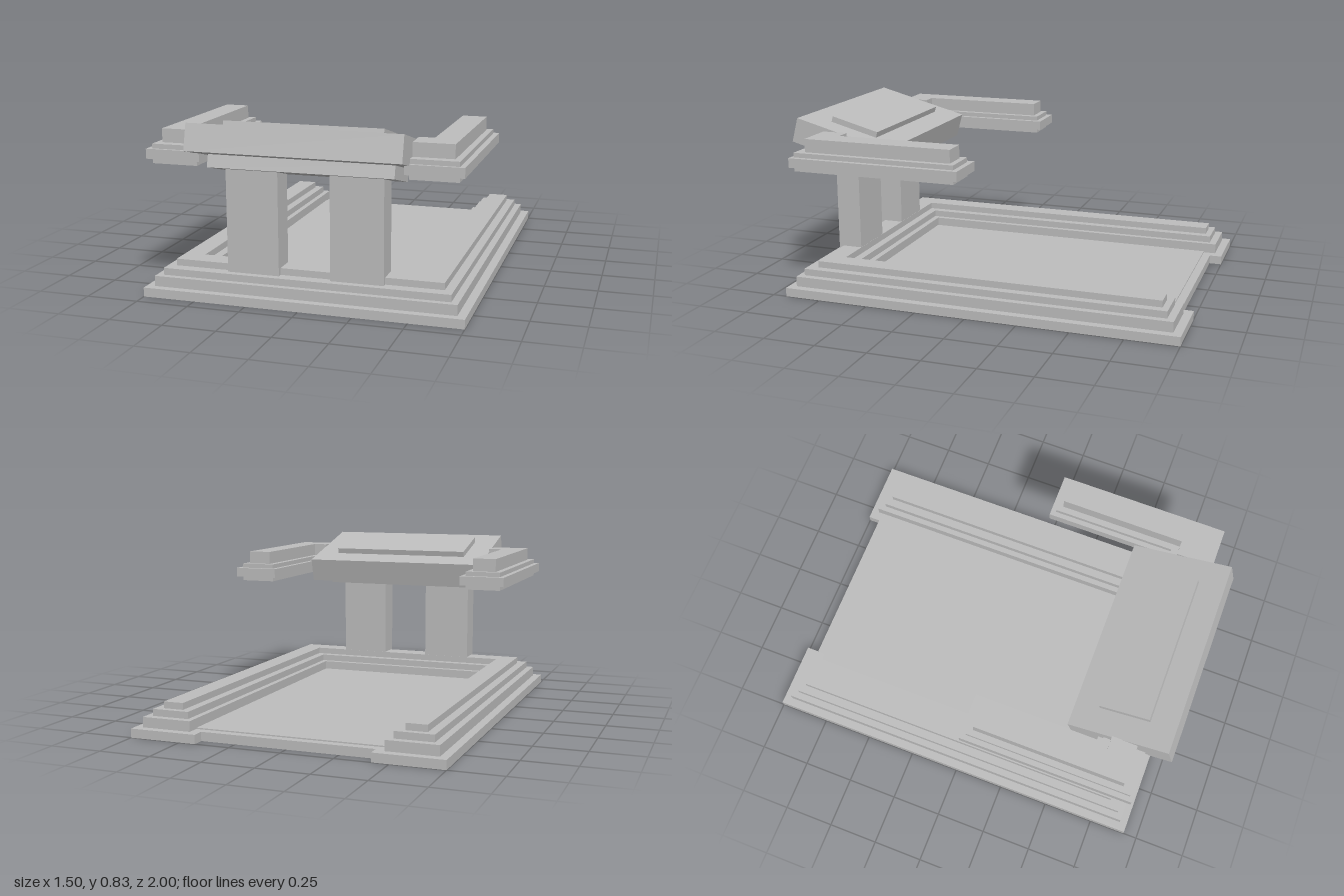
import * as THREE from 'three';

const stone = new THREE.MeshStandardMaterial({ color: 0xbcbcbc });
stone.name = 'grey stone';

// Extrudes a floor-plan outline of [x, z] points from y0 up to y1
function slab(name, points, y0, y1) {
  const shape = new THREE.Shape(points.map(([x, z]) => new THREE.Vector2(x, -z)));
  const geo = new THREE.ExtrudeGeometry(shape, { depth: y1 - y0, bevelEnabled: false });
  geo.rotateX(-Math.PI / 2).translate(0, y0, 0);
  const mesh = new THREE.Mesh(geo, stone);
  mesh.name = name;
  return mesh;
}

function box(name, w, h, d, x, y, z) {
  const mesh = new THREE.Mesh(new THREE.BoxGeometry(w, h, d), stone);
  mesh.name = name;
  mesh.position.set(x, y, z);
  return mesh;
}

export function createModel() {
  const model = new THREE.Group();
  model.name = 'console';

  // Base plate with a notch cut into the back edge
  model.add(slab('basePlate', [
    [-0.75, 0.93], [0.75, 0.93], [0.75, -1], [0.42, -1],
    [0.42, -0.94], [-0.42, -0.94], [-0.42, -1], [-0.75, -1],
  ], 0, 0.043));
  model.add(box('floorPanel', 0.93, 0.006, 1.54, 0, 0.046, -0.13));

  // U-shaped steps, open at the back: outer x, inner x, front z, inner z, back z, y range
  const steps = [
    [0.71, 0.467, 0.893, 0.64, -0.96, 0.043, 0.092],
    [0.677, 0.495, 0.865, 0.67, -0.925, 0.092, 0.125],
    [0.636, 0.537, 0.81, 0.71, -0.895, 0.125, 0.157],
  ];
  steps.forEach(([xo, xi, zf, zi, zb, y0, y1], i) => {
    model.add(slab('baseStep' + (i + 1), [
      [-xo, zf], [xo, zf], [xo, zb], [xi, zb],
      [xi, zi], [-xi, zi], [-xi, zb], [-xo, zb],
    ], y0, y1));
  });

  // L-shaped side wings: outer x, inner x, front z, inner z, back z, end x, y range
  const layers = [
    [0.705, 0.53, 0.875, 0.67, 0.063, 0.488, 0.62, 0.642],
    [0.73, 0.506, 0.89, 0.645, 0.037, 0.47, 0.642, 0.688],
    [0.705, 0.53, 0.875, 0.67, 0.063, 0.488, 0.688, 0.71],
    [0.676, 0.56, 0.83, 0.705, 0.09, 0.488, 0.71, 0.774],
  ];
  for (const s of [1, -1]) {
    const side = s > 0 ? 'left' : 'right';
    const wing = new THREE.Group();
    wing.name = side + 'Wing';
    layers.forEach(([xo, xi, zf, zi, zb, xe, y0, y1], i) => {
      wing.add(slab('wingLayer' + (i + 1), [
        [s * xe, zf], [s * xo, zf], [s * xo, zb],
        [s * xi, zb], [s * xi, zi], [s * xe, zi],
      ], y0, y1));
    });
    model.add(wing);
    // Pillar under the desk
    model.add(box(side + 'Pillar', 0.247, 0.495, 0.122, s * 0.245, 0.3725, 0.772));
  }

  // Tilted desk with a raised panel above and a support plate below
  const desk = new THREE.Group();
  desk.name = 'desk';
  desk.position.set(0, 0.7075, 0.7475);
  desk.rotation.x = -Math.PI / 12;
  desk.add(box('deskTop', 0.98, 0.124, 0.497, 0, 0, 0));
  desk.add(box('deskPanel', 0.74, 0.03, 0.25, 0, 0.076, -0.004));
  desk.add(box('deskSupport', 0.86, 0.06, 0.243, 0, -0.091, 0));
  model.add(desk);

  return model;
}
